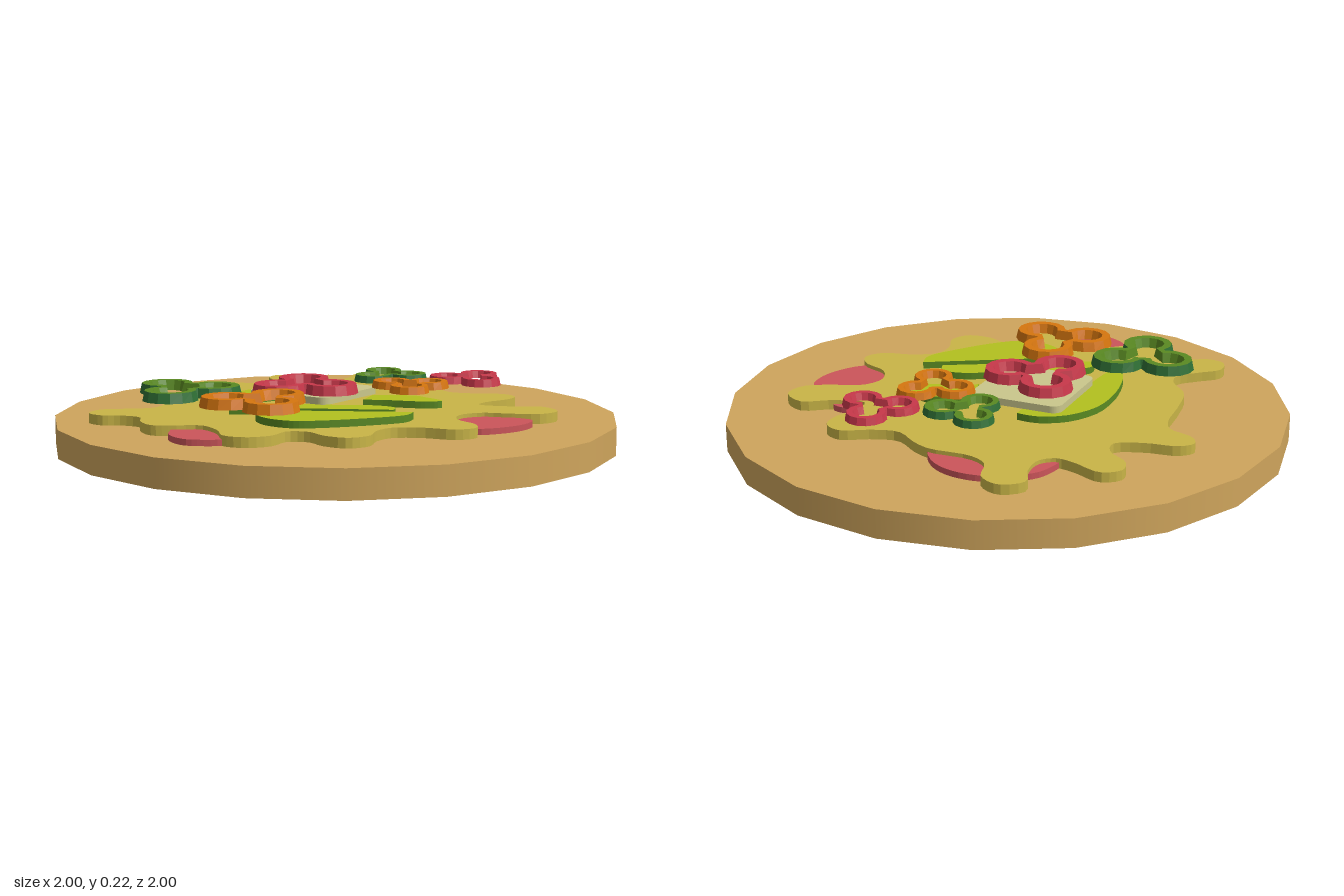
import * as THREE from 'three';

const material = (name, color, side = THREE.FrontSide) => {
  const m = new THREE.MeshStandardMaterial({ color, side });
  m.name = name;
  return m;
};

// Turns a flat list x, z, x, z... into points
const pairs = (list) => {
  const out = [];
  for (let i = 0; i < list.length; i += 2) out.push(new THREE.Vector2(list[i], list[i + 1]));
  return out;
};

// Closed wavy outline
const blobShape = (list, count) => {
  const curve = new THREE.CatmullRomCurve3(pairs(list).map((p) => new THREE.Vector3(p.x, p.y, 0)), true);
  return new THREE.Shape(curve.getPoints(count).slice(0, -1).map((p) => new THREE.Vector2(p.x, p.y)));
};

// Curved back closed by one straight cut
const sliceShape = (list) => {
  const curve = new THREE.SplineCurve(pairs(list));
  return new THREE.Shape(curve.getPoints(36));
};

// Lays a shape flat in x/z between two heights
function slab(name, shape, y0, y1, mat) {
  const geo = new THREE.ExtrudeGeometry(shape, { depth: y1 - y0, bevelEnabled: false, curveSegments: 6 });
  geo.rotateX(Math.PI / 2).translate(0, y1, 0);
  const mesh = new THREE.Mesh(geo, mat);
  mesh.name = name;
  return mesh;
}

// Three-lobed outline; lobes are trimmed where neighbours meet
function trefoil(radius, span, y) {
  const d = 0.105, steps = 10, pts = [];
  for (let lobe = 0; lobe < 3; lobe++) {
    const turn = lobe * Math.PI * 2 / 3;
    for (let i = 0; i <= steps; i++) {
      const a = THREE.MathUtils.degToRad(span) * (2 * i / steps - 1);
      const x = d + radius * Math.cos(a), z = radius * Math.sin(a);
      const limit = Math.PI / 3 - 0.01;
      const polar = THREE.MathUtils.clamp(Math.atan2(z, x), -limit, limit);
      const r = Math.hypot(x, z);
      pts.push([r * Math.cos(polar + turn), y, r * Math.sin(polar + turn)]);
    }
  }
  return pts;
}

// Joins successive outlines with flat-faced strips
function strips(loops, mat, name) {
  const pos = [];
  for (let k = 0; k < loops.length - 1; k++) {
    const n = loops[k].length;
    for (let i = 0; i < n; i++) {
      const j = (i + 1) % n;
      const a = loops[k][i], b = loops[k + 1][i], c = loops[k][j], d = loops[k + 1][j];
      pos.push(...a, ...b, ...c, ...b, ...d, ...c);
    }
  }
  const geo = new THREE.BufferGeometry();
  geo.setAttribute('position', new THREE.Float32BufferAttribute(pos, 3));
  geo.computeVertexNormals();
  const mesh = new THREE.Mesh(geo, mat);
  mesh.name = name;
  return mesh;
}

function pepperRing(name, flesh, skin, x, z, degrees, scale) {
  const h = 0.035;
  const outerLow = trefoil(0.098, 130, 0), outerTop = trefoil(0.09, 132, h);
  const innerTop = trefoil(0.062, 143, h), innerLow = trefoil(0.052, 146, 0);
  const ring = new THREE.Group();
  ring.name = name;
  ring.add(strips([outerLow, outerTop], skin, 'pepperSkin'));
  ring.add(strips([outerTop, innerTop, innerLow, outerLow], flesh, 'pepperFlesh'));
  ring.position.set(x, 0.185, z);
  ring.rotation.y = -THREE.MathUtils.degToRad(degrees);
  ring.scale.setScalar(scale);
  return ring;
}

export function createModel() {
  const model = new THREE.Group();
  model.name = 'pizza';

  const crust = material('crust', 0xcfa55c);
  const sauce = material('sauce', 0xcb555a);
  const cheese = material('cheese', 0xc9b547);
  const avocado = material('avocado flesh', 0xb3c11f);
  const green = material('green', 0x5a8a22);
  const darkGreen = material('dark green skin', 0x2f6f35);
  const pale = material('pale cheese', 0xcac78c);
  const red = material('red pepper', 0xc8384a);
  const orange = material('orange pepper', 0xd6760f);

  // Crust disc
  const base = new THREE.Mesh(new THREE.CylinderGeometry(1, 1, 0.1, 20), crust);
  base.name = 'crust';
  base.position.y = 0.05;
  model.add(base);

  // Sauce layer peeking out from beneath the cheese
  model.add(slab('sauce', blobShape([
    -0.39, -0.5, -0.36, -0.58, -0.27, -0.65, -0.18, -0.68, -0.08, -0.67, 0, -0.62, 0.1, -0.48,
    0.3, -0.38, 0.42, -0.3, 0.48, -0.325, 0.54, -0.31, 0.56, -0.22, 0.62, -0.18, 0.7, -0.17,
    0.72, -0.09, 0.7, 0, 0.64, 0.09, 0.5, 0.15, 0.35, 0.4, 0.1, 0.6, 0.06, 0.72, 0, 0.77,
    -0.06, 0.79, -0.15, 0.75, -0.2, 0.68, -0.3, 0.55, -0.45, 0.25, -0.5, -0.1, -0.42, -0.3,
  ], 100), 0.095, 0.121, sauce));

  // Melted cheese with a wavy rim
  model.add(slab('cheese', blobShape([
    -0.37, -0.69, -0.3, -0.745, -0.225, -0.71, -0.19, -0.61, -0.12, -0.57, 0.03, -0.57, 0.1, -0.54,
    0.19, -0.48, 0.28, -0.5, 0.38, -0.55, 0.445, -0.52, 0.455, -0.45, 0.42, -0.34, 0.43, -0.28,
    0.545, -0.31, 0.64, -0.365, 0.725, -0.31, 0.71, -0.225, 0.62, -0.17, 0.525, -0.13, 0.485, -0.05,
    0.525, 0.04, 0.62, 0.085, 0.66, 0.15, 0.62, 0.215, 0.51, 0.245, 0.43, 0.3, 0.42, 0.38,
    0.45, 0.47, 0.415, 0.54, 0.325, 0.55, 0.245, 0.52, 0.185, 0.555, 0.19, 0.645, 0.14, 0.715,
    0.06, 0.73, -0.02, 0.66, -0.12, 0.62, -0.2, 0.68, -0.26, 0.71, -0.34, 0.67, -0.395, 0.61,
    -0.475, 0.62, -0.53, 0.655, -0.6, 0.64, -0.615, 0.56, -0.555, 0.5, -0.49, 0.43, -0.5, 0.36,
    -0.57, 0.27, -0.595, 0.135, -0.61, -0.02, -0.64, -0.08, -0.73, -0.12, -0.755, -0.17,
    -0.715, -0.215, -0.6, -0.235, -0.51, -0.28, -0.525, -0.35, -0.6, -0.41, -0.615, -0.48,
    -0.555, -0.525, -0.45, -0.485, -0.385, -0.475, -0.34, -0.515, -0.34, -0.6,
  ], 220), 0.095, 0.135, cheese));

  // Avocado slices with green skin on the edges
  const slices = [
    [-0.13, -0.215, -0.21, -0.215, -0.3, -0.16, -0.36, -0.05, -0.37, 0.08, -0.355, 0.2, -0.325, 0.3,
      -0.28, 0.34, -0.26, 0.27, -0.25, 0.15, -0.22, 0.05, -0.15, -0.05, -0.13, -0.12],
    [0.32, 0.12, 0.29, 0.07, 0.2, 0.08, 0.08, 0.15, -0.04, 0.2, -0.14, 0.27, -0.19, 0.33, -0.18, 0.39],
    [0.4, 0.12, 0.41, 0.2, 0.33, 0.33, 0.24, 0.44, 0.16, 0.5, 0.06, 0.5, -0.02, 0.45, -0.05, 0.38],
    [0.08, -0.12, 0.2, -0.19, 0.27, -0.18, 0.355, -0.145, 0.3, -0.09, 0.19, -0.05, 0.11, -0.01],
  ];
  for (const s of slices) model.add(slab('avocadoSlice', sliceShape(s), 0.13, 0.16, [avocado, green]));

  // Pale square of cheese with rounded corners
  const [x0, x1, z0, z1, r] = [-0.267, 0.075, -0.17, 0.172, 0.035];
  const square = new THREE.Shape();
  square.absarc(x1 - r, z1 - r, r, 0, Math.PI / 2);
  square.absarc(x0 + r, z1 - r, r, Math.PI / 2, Math.PI);
  square.absarc(x0 + r, z0 + r, r, Math.PI, Math.PI * 1.5);
  square.absarc(x1 - r, z0 + r, r, Math.PI * 1.5, Math.PI * 2);
  model.add(slab('paleCheeseSquare', square, 0.16, 0.185, pale));

  // Pepper rings: name, flesh, skin, x, z, turn, scale
  const rings = [
    ['redPepperRing', red, red, -0.09, 0.065, -7, 1],
    ['orangePepperRing', orange, orange, -0.01, 0.445, -90, 1],
    ['greenPepperRing', green, darkGreen, -0.37, 0.4, -43, 1],
    ['smallRedPepperRing', red, red, 0.29, -0.45, -93, 0.74],
    ['smallOrangePepperRing', orange, orange, 0.2, -0.18, -60, 0.74],
    ['smallGreenPepperRing', green, darkGreen, 0, -0.35, -16, 0.73],
  ];
  for (const ring of rings) model.add(pepperRing(...ring));

  return model;
}
